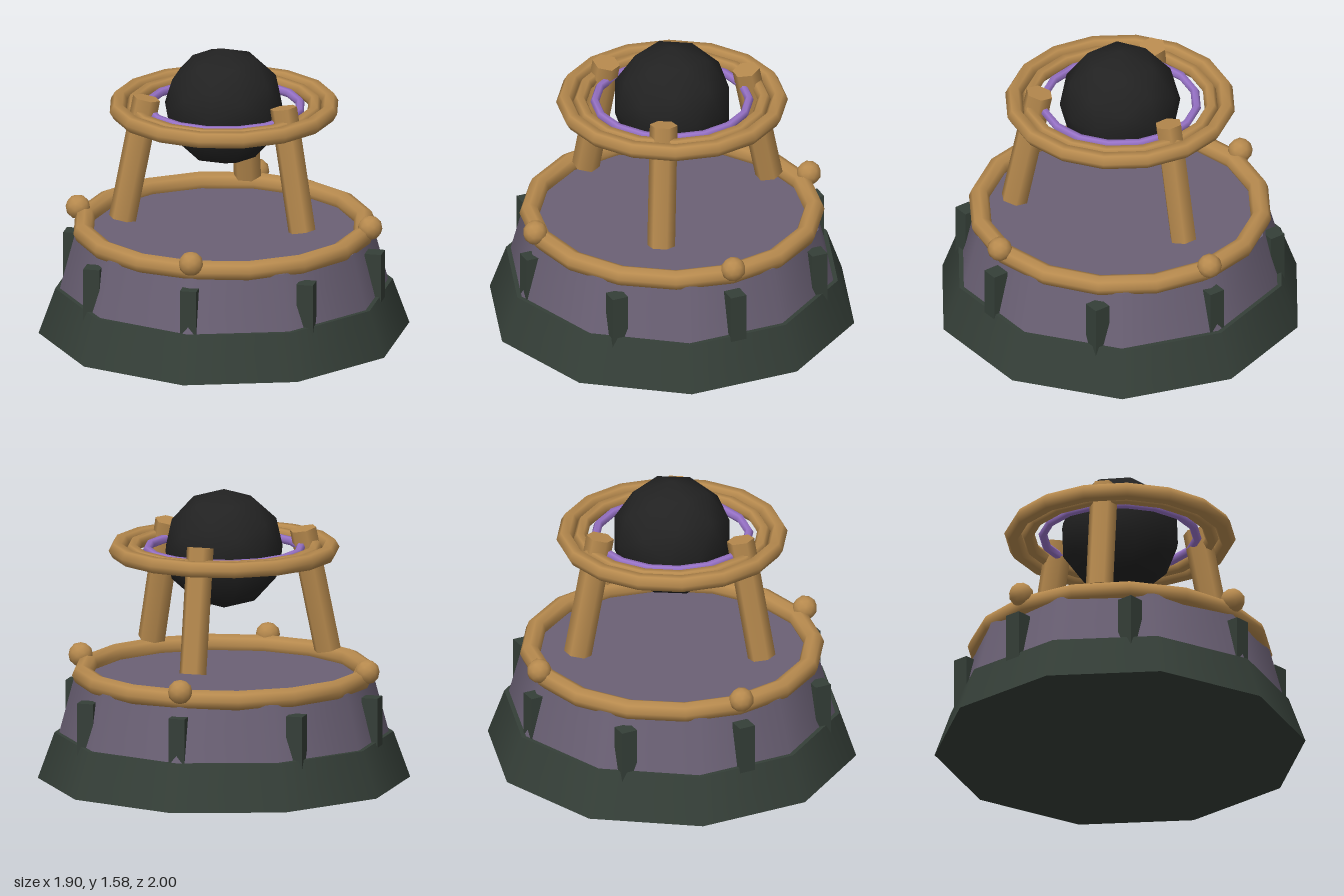
import * as THREE from 'three';

const mat = (name, color) => Object.assign(new THREE.MeshStandardMaterial({ color }), { name });

export function createModel() {
  const darkGreen = mat('dark green stone', 0x353f38);
  const greyPurple = mat('grey purple stone', 0x6b6175);
  const bronze = mat('bronze', 0xb78a4e);
  const violet = mat('violet glow', 0x9873c8);
  const black = mat('black orb', 0x222222);

  const model = new THREE.Group();
  model.name = 'pedestalWithOrb';
  const add = (name, geometry, material, x = 0, y = 0, z = 0, parent = model) => {
    const mesh = new THREE.Mesh(geometry, material);
    mesh.name = name;
    mesh.position.set(x, y, z);
    parent.add(mesh);
    return mesh;
  };
  const ring = (name, radius, tube, sides, material, y) =>
    add(name, new THREE.TorusGeometry(radius, tube, sides, 16).rotateX(Math.PI / 2), material, 0, y, 0);

  // Ten-sided plinth and drum
  add('base', new THREE.CylinderGeometry(0.91, 1, 0.25, 10), darkGreen, 0, 0.125, 0);
  add('drum', new THREE.CylinderGeometry(0.805, 0.885, 0.3, 10), greyPurple, 0, 0.4, 0);

  // Eight square brackets around the drum
  const bracket = new THREE.BoxGeometry(0.09, 0.34, 0.09);
  for (let i = 0; i < 8; i++) {
    const a = (i * Math.PI) / 4;
    add('bracket', bracket, darkGreen, Math.sin(a) * 0.83, 0.32, Math.cos(a) * 0.83);
  }

  // Rim with four studs
  ring('rim', 0.765, 0.055, 8, bronze, 0.575);
  const stud = new THREE.IcosahedronGeometry(0.067, 1);
  for (let i = 0; i < 4; i++) {
    const a = (i * Math.PI) / 2;
    add('stud', stud, bronze, Math.sin(a) * 0.805, 0.625, Math.cos(a) * 0.805);
  }

  // Three floating hexagonal pillars leaning towards the orb
  const pillar = new THREE.CylinderGeometry(0.075, 0.075, 0.68, 6).rotateY(Math.PI / 6);
  for (let i = 0; i < 3; i++) {
    const arm = new THREE.Group();
    arm.name = 'pillarArm';
    arm.rotation.y = Math.PI + (i * Math.PI * 2) / 3;
    add('pillar', pillar, bronze, 0, 1.01, 0.503, arm).rotation.x = -0.2;
    model.add(arm);
  }

  // Flat nested rings around the orb
  ring('outerRing', 0.577, 0.046, 6, bronze, 1.253);
  ring('middleRing', 0.495, 0.036, 6, bronze, 1.253);
  ring('innerRing', 0.415, 0.024, 6, violet, 1.253);

  // Orb
  add('orb', new THREE.IcosahedronGeometry(0.325, 1), black, 0, 1.255, 0);

  return model;
}
